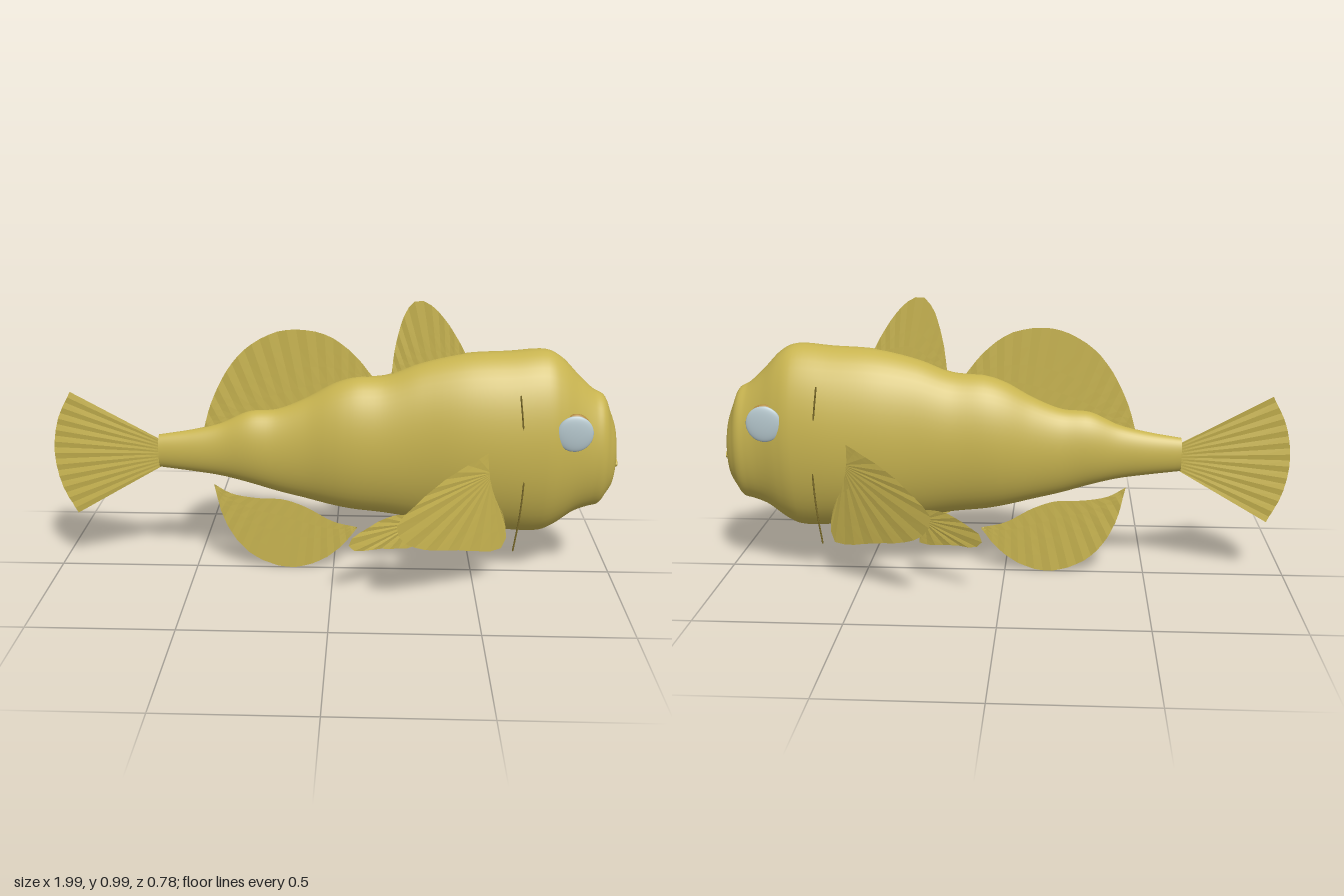
import * as THREE from 'three';

const skin = new THREE.MeshStandardMaterial({ color: 0xc8b450, side: THREE.DoubleSide });
skin.name = 'olive skin';
const socketMat = new THREE.MeshStandardMaterial({ color: 0xb08a40 });
socketMat.name = 'brown eye socket';
const eyeMat = new THREE.MeshStandardMaterial({ color: 0xb4c6cc });
eyeMat.name = 'pale eye';
const lineMat = new THREE.MeshStandardMaterial({ color: 0x7a6a28 });
lineMat.name = 'dark olive';

// Body stations, tail to snout: x, bottom y, top y, half width
const STATIONS = [
  [-0.62, 0.39, 0.51, 0.03], [-0.5, 0.375, 0.53, 0.042], [-0.4, 0.36, 0.555, 0.052],
  [-0.3, 0.335, 0.6, 0.07], [-0.2, 0.305, 0.61, 0.078], [-0.1, 0.28, 0.65, 0.093],
  [0, 0.255, 0.705, 0.117], [0.07, 0.242, 0.727, 0.127], [0.18, 0.23, 0.735, 0.132],
  [0.3, 0.21, 0.78, 0.143], [0.45, 0.187, 0.815, 0.165], [0.6, 0.175, 0.825, 0.172],
  [0.73, 0.173, 0.833, 0.166], [0.78, 0.195, 0.81, 0.153], [0.85, 0.245, 0.74, 0.126],
  [0.9, 0.265, 0.695, 0.112], [0.935, 0.275, 0.675, 0.104], [0.96, 0.31, 0.62, 0.083],
  [0.98, 0.345, 0.565, 0.06], [0.988, 0.39, 0.51, 0.038],
];

function bodyGeometry(sides = 48, steps = 114) {
  const a = new THREE.CatmullRomCurve3(STATIONS.map(s => new THREE.Vector3(s[0], s[1], s[2])), false, 'centripetal');
  const b = new THREE.CatmullRomCurve3(STATIONS.map(s => new THREE.Vector3(s[3], 0, s[0])), false, 'catmullrom', 0.5);
  const pos = [], idx = [];
  for (let i = 0; i <= steps; i++) {
    const p = a.getPoint(i / steps), w = b.getPoint(i / steps).x;
    for (let j = 0; j < sides; j++) {
      const t = (j / sides) * Math.PI * 2;
      pos.push(p.x, (p.y + p.z) / 2 + Math.cos(t) * (p.z - p.y) / 2, Math.sin(t) * w);
    }
  }
  const at = (i, j) => i * sides + (j % sides);
  for (let i = 0; i < steps; i++) {
    for (let j = 0; j < sides; j++) {
      idx.push(at(i, j), at(i, j + 1), at(i + 1, j), at(i + 1, j), at(i, j + 1), at(i + 1, j + 1));
    }
  }
  // Closing points: snout shares its ring, the tail end gets its own for a sharp edge
  const snout = pos.length / 3;
  pos.push(0.991, 0.45, 0);
  const tail = snout + 1;
  pos.push(-0.62, 0.45, 0);
  for (let j = 0; j < sides; j++) pos.push(pos[j * 3], pos[j * 3 + 1], pos[j * 3 + 2]);
  for (let j = 0; j < sides; j++) {
    idx.push(at(steps, j), at(steps, j + 1), snout);
    idx.push(tail + 1 + ((j + 1) % sides), tail + 1 + j, tail);
  }
  const g = new THREE.BufferGeometry();
  g.setAttribute('position', new THREE.Float32BufferAttribute(pos, 3));
  g.setIndex(idx);
  g.computeVertexNormals();
  return g;
}

// A pleated fin spanned by rays from a base line to an outer edge; depth(x) gives its z
function finGeometry(base, edge, rays, depth = () => 0, pleat = 0.003) {
  const curve = pts => new THREE.CatmullRomCurve3(pts.map(p => new THREE.Vector3(p[0], p[1], 0)), false, 'centripetal');
  const cb = curve(base), ce = curve(edge), rows = 4, n = rays * 2, pos = [], idx = [];
  for (let i = 0; i <= n; i++) {
    const p = cb.getPointAt(i / n), q = ce.getPointAt(i / n);
    for (let k = 0; k <= rows; k++) {
      const v = p.clone().lerp(q, k / rows);
      pos.push(v.x, v.y, depth(v.x) + (i % 2 ? pleat : -pleat) * (k / rows) * (1 - 0.5 * k / rows));
      if (i < n && k < rows) {
        const c = i * (rows + 1) + k, d = c + rows + 1;
        idx.push(c, d, c + 1, c + 1, d, d + 1);
      }
    }
  }
  const g = new THREE.BufferGeometry();
  g.setAttribute('position', new THREE.Float32BufferAttribute(pos, 3));
  g.setIndex(idx);
  const flat = g.toNonIndexed();
  flat.computeVertexNormals();
  return flat;
}

export function createModel() {
  const fish = new THREE.Group();
  fish.name = 'fish';
  const add = (name, geometry, material, parent = fish) => {
    const m = new THREE.Mesh(geometry, material);
    m.name = name;
    parent.add(m);
    return m;
  };

  add('body', bodyGeometry(), skin);

  // Fins on the middle plane
  add('frontDorsalFin', finGeometry(
    [[0.2, 0.72], [0.32, 0.76], [0.46, 0.8]],
    [[0.2, 0.73], [0.215, 0.85], [0.25, 0.965], [0.285, 1.0], [0.33, 0.985], [0.38, 0.935], [0.43, 0.86], [0.46, 0.805]], 9), skin);
  add('rearDorsalFin', finGeometry(
    [[-0.46, 0.52], [-0.3, 0.57], [-0.1, 0.62], [0.14, 0.71]],
    [[-0.46, 0.53], [-0.43, 0.63], [-0.37, 0.75], [-0.3, 0.83], [-0.2, 0.885], [-0.12, 0.895], [-0.02, 0.875], [0.07, 0.81], [0.14, 0.725]], 13), skin);
  add('analFin', finGeometry(
    [[-0.43, 0.325], [-0.37, 0.29], [-0.28, 0.273], [-0.18, 0.268], [-0.1, 0.24], [0, 0.185], [0.085, 0.165]],
    [[-0.428, 0.315], [-0.4, 0.2], [-0.35, 0.105], [-0.28, 0.04], [-0.16, 0.002], [-0.05, 0.03], [0.03, 0.09], [0.085, 0.16]], 12), skin);
  add('tailFin', finGeometry(
    [[-0.615, 0.49], [-0.615, 0.44], [-0.615, 0.39]],
    [[-0.93, 0.663], [-0.98, 0.56], [-1, 0.435], [-0.98, 0.31], [-0.93, 0.205]], 11, () => -0.002), skin);

  // Parts repeated on both flanks
  for (const [side, s] of [['left', -1], ['right', 1]]) {
    const half = new THREE.Group();
    // the right flank is at +z when facing +x
    half.name = side === 'right' ? 'nearFlank' : 'farFlank';
    fish.add(half);

    add('pectoralFin', finGeometry(
      [[0.54, 0.445], [0.548, 0.43], [0.54, 0.415]],
      [[0.535, 0.515], [0.38, 0.455], [0.28, 0.39], [0.22, 0.335], [0.24, 0.275], [0.3, 0.23],
        [0.42, 0.19], [0.6, 0.15], [0.585, 0.3], [0.53, 0.36]], 13,
      x => s * (0.165 + (0.54 - x) * 0.7)), skin, half);
    add('pelvicFin', finGeometry(
      [[0.27, 0.245], [0.275, 0.235], [0.27, 0.225]],
      [[0.28, 0.275], [0.2, 0.285], [0.12, 0.26], [0.06, 0.225], [0.08, 0.19], [0.16, 0.175], [0.295, 0.152], [0.285, 0.21]], 9,
      x => s * (0.13 + (0.29 - x) * 0.65)), skin, half);

    // Eye: brown socket with a flattened pale eyeball outside it
    const socket = add('eyeSocket', new THREE.SphereGeometry(1, 32, 20), socketMat, half);
    socket.scale.set(0.055, 0.065, 0.023);
    socket.position.set(0.825, 0.577, s * 0.124);
    const eye = add('eye', new THREE.SphereGeometry(1, 32, 20), eyeMat, half);
    eye.scale.set(0.062, 0.063, 0.012);
    eye.position.set(0.82, 0.578, s * 0.148);

    // Gill line, partly sunk into the body
    const gill = new THREE.CatmullRomCurve3([[0.63, 0.715], [0.645, 0.59], [0.655, 0.43], [0.648, 0.29], [0.63, 0.152]]
      .map(([x, y]) => new THREE.Vector3(x, y, s * 0.161)));
    add('gillLine', new THREE.TubeGeometry(gill, 32, 0.003, 6), lineMat, half);
  }

  // Mouth ring on the snout
  const mouth = add('mouth', new THREE.TorusGeometry(0.033, 0.005, 8, 32), skin);
  mouth.rotation.y = Math.PI / 2;
  mouth.scale.set(1, 0.4, 1);
  mouth.position.set(0.99, 0.431, 0);

  return fish;
}
